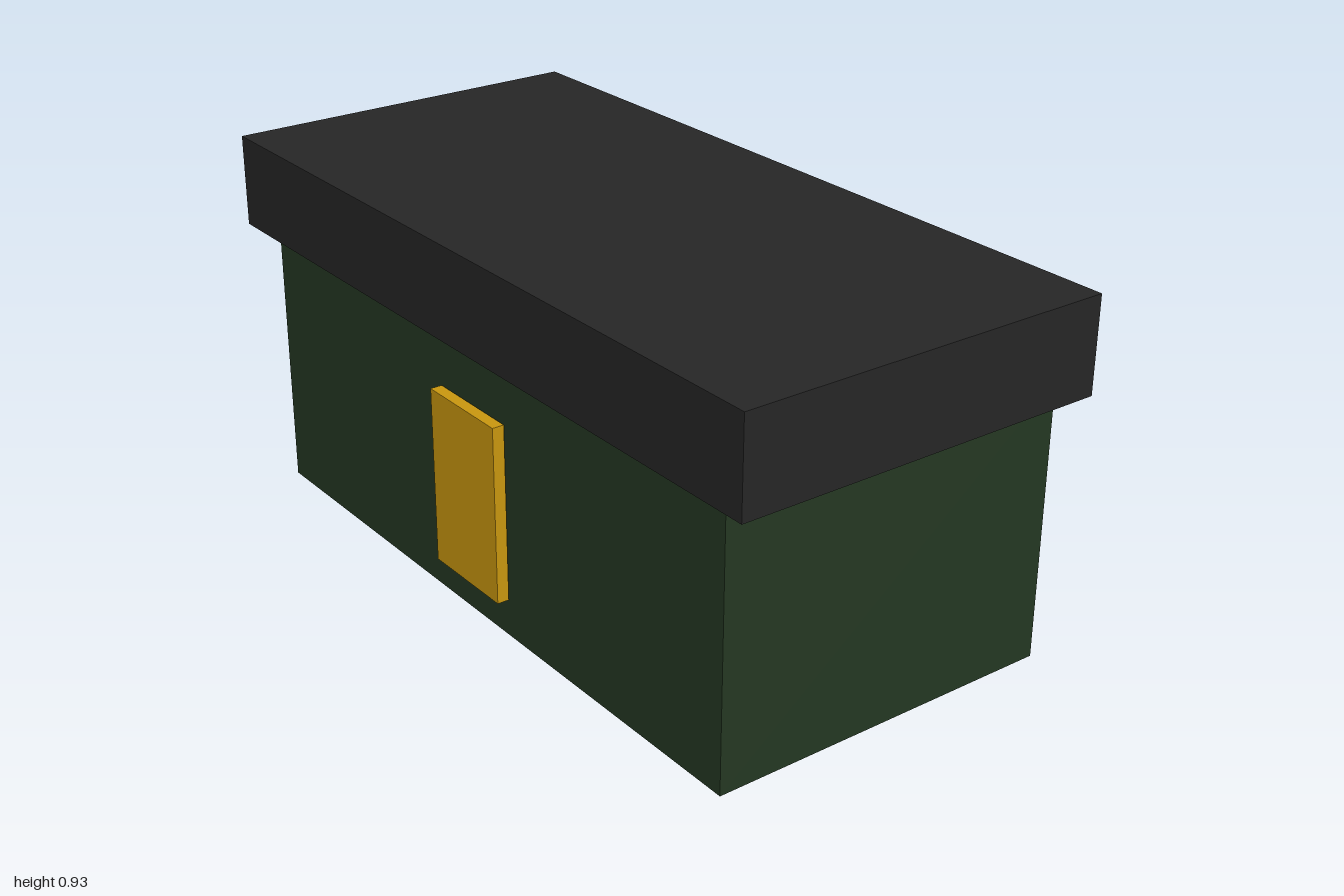
import * as THREE from 'three';

const green = new THREE.MeshStandardMaterial({ color: 0x243822 });
const black = new THREE.MeshStandardMaterial({ color: 0x262626 });
const gold = new THREE.MeshStandardMaterial({ color: 0xc8960f });

// Box given by its extents along each axis
function box(name, [x0, x1], [y0, y1], [z0, z1], material) {
  const mesh = new THREE.Mesh(new THREE.BoxGeometry(x1 - x0, y1 - y0, z1 - z0), material);
  mesh.position.set((x0 + x1) / 2, (y0 + y1) / 2, (z0 + z1) / 2);
  mesh.name = name;
  return mesh;
}

export function createModel() {
  const model = new THREE.Group();
  model.name = 'chest';

  // Storage body
  model.add(box('body', [-0.905, 0.905], [0, 0.695], [-0.463, 0.445], green));

  // Overhanging lid: top slab with a rim hanging down around it
  const lid = new THREE.Group();
  lid.name = 'lid';
  const wall = 0.03, bottom = 0.69, under = 0.895, top = 0.925, back = -0.472, front = 0.484;
  lid.add(box('lidTop', [-1, 1], [under, top], [back, front], black));
  lid.add(box('lidFront', [-1, 1], [bottom, under], [front - wall, front], black));
  lid.add(box('lidBack', [-1, 1], [bottom, under], [back, back + wall], black));
  lid.add(box('lidRight', [-1, -1 + wall], [bottom, under], [back + wall, front - wall], black));
  lid.add(box('lidLeft', [1 - wall, 1], [bottom, under], [back + wall, front - wall], black));
  model.add(lid);

  // Front latch plate
  model.add(box('latch', [-0.13, 0.13], [0.1, 0.548], [0.45, 0.48], gold));

  // Pair of hinges on the back
  for (const [name, x] of [['hingeRight', -0.5], ['hingeLeft', 0.5]]) {
    model.add(box(name, [x - 0.166, x + 0.166], [0.652, 0.714], [-0.484, -0.471], black));
  }
  return model;
}
